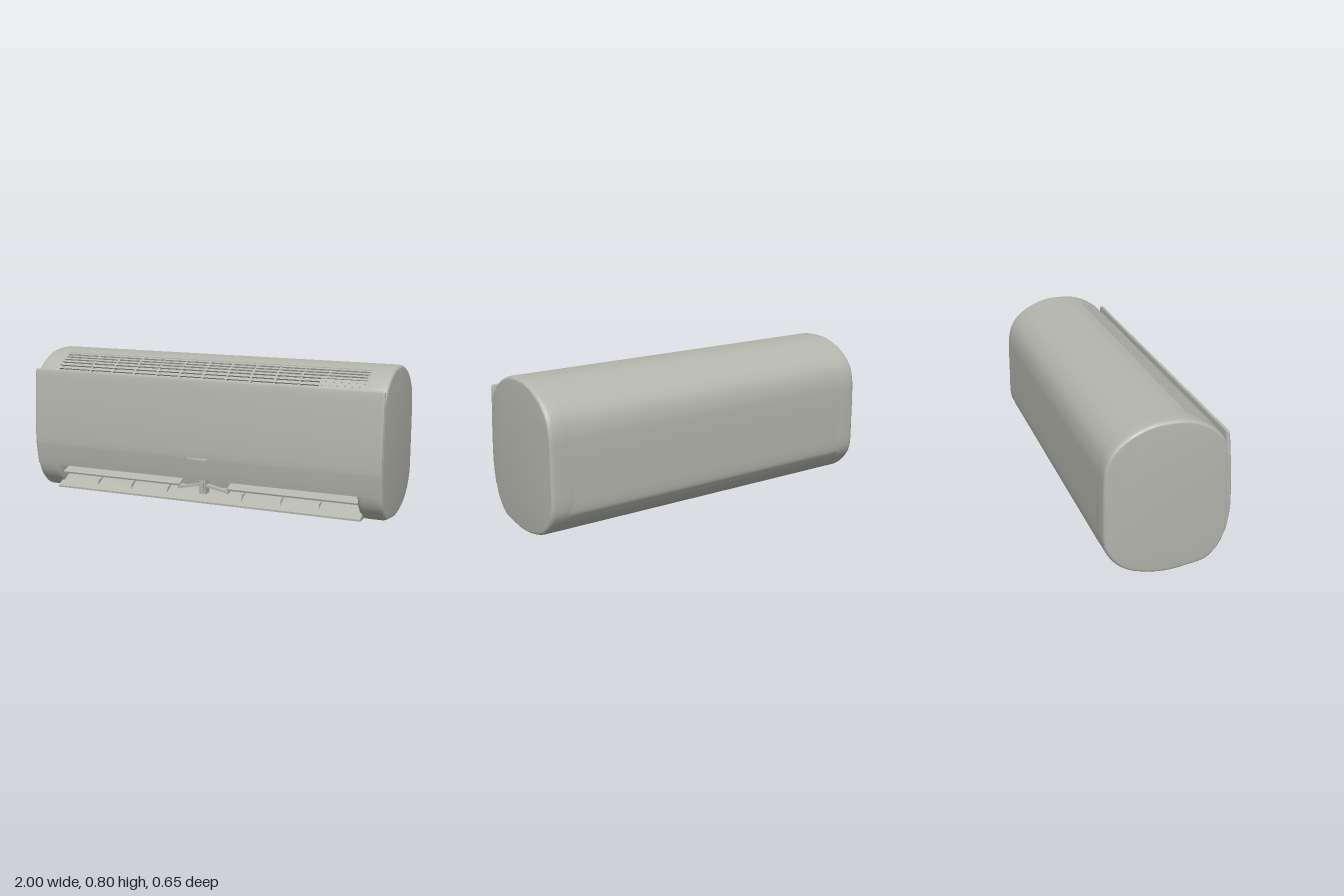
import * as THREE from 'three';
import { toCreasedNormals } from 'three/addons/utils/BufferGeometryUtils.js';

const plastic = new THREE.MeshStandardMaterial({ color: 0xb4b5ad });
plastic.name = 'warm grey plastic';

const vec = ([z, y]) => new THREE.Vector2(z, y);
const smooth = (pts, n) => new THREE.SplineCurve(pts.map(vec)).getPoints(n);

// Extrudes a (z, y) outline along x from x0 to x1, with optionally rounded ends
function extrudeX(name, outline, x0, x1, round = 0, inset = 0) {
  const shape = new THREE.Shape(outline.map((p) => new THREE.Vector2(-p.x, p.y)));
  const geo = new THREE.ExtrudeGeometry(shape, {
    depth: x1 - x0 - 2 * round, bevelEnabled: round > 0,
    bevelThickness: round, bevelSize: inset, bevelOffset: -inset, bevelSegments: 4,
  });
  geo.translate(0, 0, x0 + round).rotateY(Math.PI / 2);
  const mesh = new THREE.Mesh(toCreasedNormals(geo, 0.6), plastic);
  mesh.name = name;
  return mesh;
}

function box(name, sx, sy, sz, x, y, z, tilt = 0) {
  const mesh = new THREE.Mesh(new THREE.BoxGeometry(sx, sy, sz), plastic);
  mesh.name = name;
  mesh.position.set(x, y, z);
  mesh.rotation.x = tilt;
  return mesh;
}

// Casing from the rear edge of the intake, over the back, to the outlet lip
const SHELL = [
  [0.12, 0.789], [0.06, 0.8], [0, 0.802], [-0.06, 0.799], [-0.13, 0.78], [-0.2, 0.747],
  [-0.255, 0.705], [-0.295, 0.65], [-0.315, 0.58], [-0.32, 0.5], [-0.321, 0.35], [-0.318, 0.19],
  [-0.3, 0.14], [-0.26, 0.087], [-0.2, 0.043], [-0.1, 0.013], [0, 0.003], [0.1, 0.014], [0.2, 0.035],
];
const FRONT = [
  [0.25, 0.078], [0.28, 0.12], [0.3, 0.18], [0.306, 0.25], [0.306, 0.4], [0.3, 0.55],
  [0.29, 0.65], [0.265, 0.697], [0.2, 0.752],
];
const INTAKE = new THREE.SplineCurve([[0.12, 0.789], [0.2, 0.75], [0.275, 0.69]].map(vec));

function addCasing(group) {
  // Middle section with the intake recess above and the outlet recess below
  const middle = [
    ...smooth(SHELL, 90),
    ...[[0.2, 0.055], [0.16, 0.1], [0.17, 0.145], [0.2, 0.165], [0.3, 0.178], [0.306, 0.25],
      [0.306, 0.4], [0.3, 0.55], [0.29, 0.675], [0.25, 0.68], [0.19, 0.73], [0.12, 0.768]].map(vec),
  ];
  group.add(extrudeX('casing', middle, -0.9, 0.9));

  // Rounded end caps
  const ring = [...SHELL, ...FRONT].map(([z, y]) => new THREE.Vector3(z, y, 0));
  const full = new THREE.CatmullRomCurve3(ring, true).getPoints(110).slice(0, -1);
  group.add(extrudeX('leftEndCap', full, 0.87, 1, 0.025, 0.014));
  group.add(extrudeX('rightEndCap', full, -1, -0.87, 0.025, 0.014));
}

function addFrontPanel(group) {
  const outer = smooth([
    [0.302, 0.172], [0.309, 0.21], [0.318, 0.27], [0.322, 0.31], [0.321, 0.4],
    [0.315, 0.52], [0.305, 0.65], [0.298, 0.706], [0.292, 0.714], [0.284, 0.71],
  ], 40);
  const inner = [[0.28, 0.69], [0.284, 0.5], [0.288, 0.18]].map(vec);
  group.add(extrudeX('frontPanel', [...outer, ...inner], -0.998, 0.998, 0.012, 0.005));

  // Shallow raised grip at the panel's lower middle
  const grip = [[0.314, 0.278], [0.324, 0.28], [0.324, 0.29], [0.316, 0.297]].map(vec);
  group.add(extrudeX('panelGrip', grip, -0.06, 0.06, 0.01, 0.003));
}

function addIntakeGrille(group) {
  const grille = new THREE.Group();
  grille.name = 'intakeGrille';
  // Long slats following the curve of the casing
  for (let i = 0; i < 7; i++) {
    const t = 0.07 + i * 0.135;
    const p = INTAKE.getPointAt(t), d = INTAKE.getTangentAt(t);
    grille.add(box('slat', 1.8, 0.008, 0.013, 0, p.y - 0.003, p.x, -Math.atan2(d.y, d.x)));
  }
  // Cross ribs
  const arc = INTAKE.getPoints(12);
  const rib = [...arc, ...arc.map((p) => new THREE.Vector2(p.x - 0.012, p.y - 0.02)).reverse()];
  for (let i = -5; i <= 5; i++) {
    const x = i * 0.135;
    grille.add(extrudeX('rib', rib, x - 0.005, x + 0.005));
  }
  // Solid cover at the left end of the grille
  const p = INTAKE.getPointAt(0.72), d = INTAKE.getTangentAt(0.72);
  grille.add(box('grilleCover', 0.25, 0.008, 0.07, 0.77, p.y - 0.004, p.x, -Math.atan2(d.y, d.x)));
  group.add(grille);
}

function addOutlet(group) {
  const outlet = new THREE.Group();
  outlet.name = 'airOutlet';
  // Open lower flap, wedge shaped
  const flap = [[0.277, 0.036], [0.277, 0.046], [0.262, 0.054], [0.245, 0.063], [0.2, 0.088],
    [0.165, 0.098], [0.165, 0.05], [0.2, 0.034]].map(vec);
  outlet.add(extrudeX('flap', flap, -0.885, 0.885));
  // Upright fins on the flap
  const fin = [[0.25, 0.058], [0.235, 0.09], [0.18, 0.1], [0.18, 0.085]].map(vec);
  for (const x of [0.22, 0.44, 0.65]) {
    for (const s of [-1, 1]) outlet.add(extrudeX('fin', fin, s * x - 0.005, s * x + 0.005));
  }
  // Upper louvre in two halves, with a sloped arm down to the centre bracket
  for (const s of [-1, 1]) {
    outlet.add(box('upperLouvre', 0.74, 0.01, 0.06, s * 0.51, 0.126, 0.215, 0.35));
    const arm = box('louvreArm', 0.13, 0.012, 0.03, s * 0.085, 0.115, 0.235);
    arm.rotation.z = -s * 0.2;
    outlet.add(arm);
  }
  outlet.add(box('centreBracket', 0.04, 0.08, 0.05, 0, 0.12, 0.225));
  outlet.add(box('bracketTab', 0.02, 0.05, 0.015, 0, 0.12, 0.255));
  group.add(outlet);
}

export function createModel() {
  const group = new THREE.Group();
  group.name = 'wallAirConditioner';
  addCasing(group);
  addFrontPanel(group);
  addIntakeGrille(group);
  addOutlet(group);
  return group;
}
